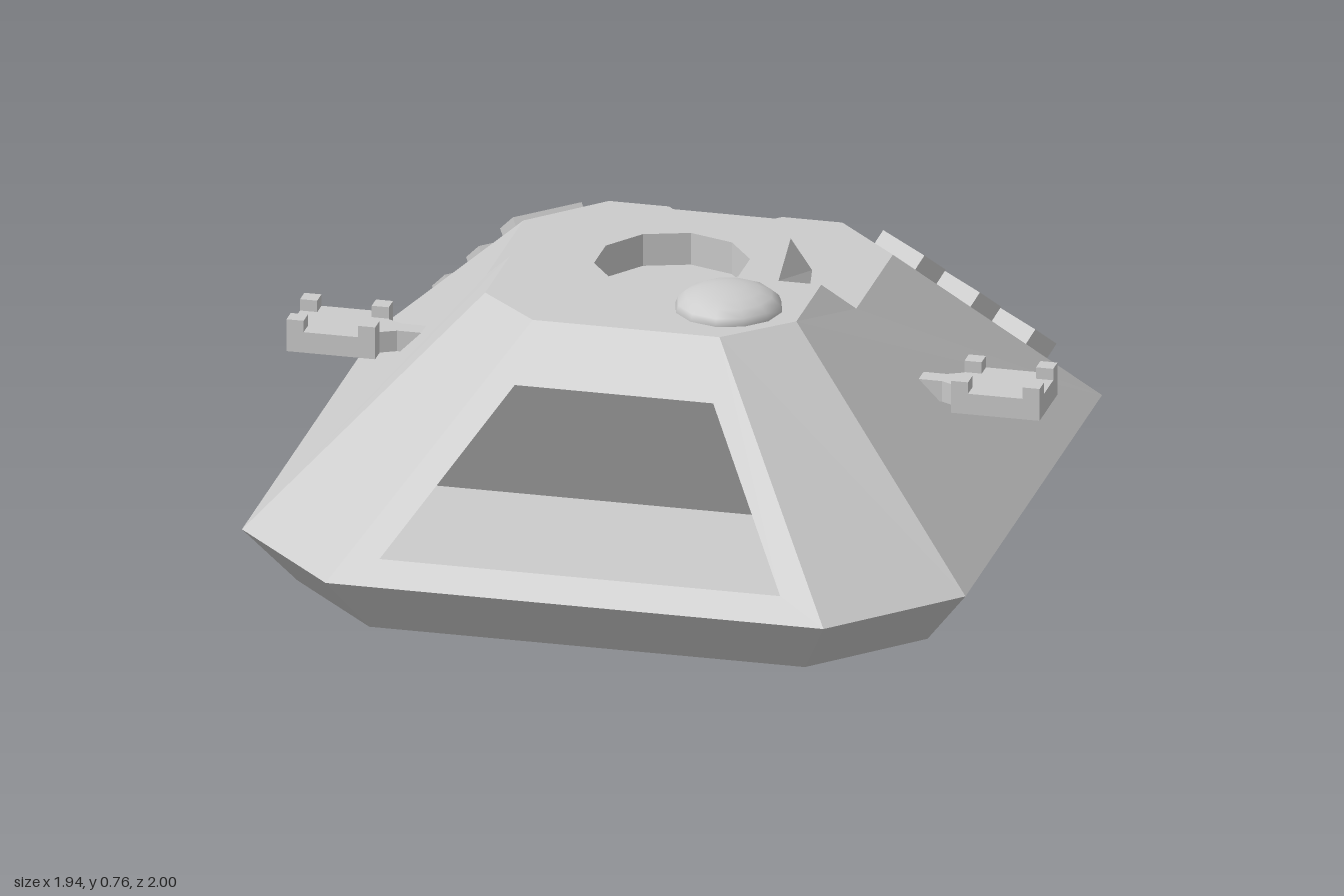
import * as THREE from 'three';

const material = new THREE.MeshStandardMaterial({ color: 0xcccccc, flatShading: true, side: THREE.DoubleSide });
const smooth = new THREE.MeshStandardMaterial({ color: 0xcccccc, side: THREE.DoubleSide });

// Heights: skirt foot, widest edge, rear terrace, top deck
const FOOT = 0, EDGE = 0.16, STEP = 0.62, DECK = 0.7;

const at = (y, ...pairs) => pairs.map(([x, z]) => [x, y, z]);
const mirror = pts => pts.map(([x, y, z]) => [-x, y, z]);
// Half outline on +x, closed by its mirror image
const both = pts => [...pts, ...mirror(pts).reverse()];
// A face on +x and its twin on -x
const pair = pts => [{ pts }, { pts: mirror(pts) }];

// Flat faces triangulated in plan; dir is +1 for faces looking up, -1 for down
function panels(name, faces, dir = 1) {
  const pos = [];
  const flat = pts => pts.map(p => new THREE.Vector2(p[0], p[2]));
  for (const { pts, hole } of faces) {
    const all = hole ? [...pts, ...hole] : pts;
    for (const [a, b, c] of THREE.ShapeUtils.triangulateShape(flat(pts), hole ? [flat(hole)] : [])) {
      const [A, B, C] = [all[a], all[b], all[c]];
      const ny = (B[2] - A[2]) * (C[0] - A[0]) - (B[0] - A[0]) * (C[2] - A[2]);
      pos.push(...A, ...(ny * dir > 0 ? [...B, ...C] : [...C, ...B]));
    }
  }
  const geo = new THREE.BufferGeometry();
  geo.setAttribute('position', new THREE.Float32BufferAttribute(pos, 3));
  geo.computeVertexNormals();
  return mesh(name, geo);
}

function mesh(name, geo, mat = material) {
  const m = new THREE.Mesh(geo, mat);
  m.name = name;
  return m;
}

// Side bracket: necked plate with four corner posts
function bracket(side) {
  const g = new THREE.Group();
  g.name = side > 0 ? 'leftBracket' : 'rightBracket';
  const half = [[0.63, 0.025], [0.7, 0.025], [0.74, 0.045], [0.74, 0.092], [0.968, 0.092]];
  const outline = [...half, ...half.map(([x, z]) => [x, -z]).reverse()];
  const shape = new THREE.Shape(outline.map(([x, z]) => new THREE.Vector2(x * side, z)));
  const plate = mesh('plate', new THREE.ExtrudeGeometry(shape, { depth: 0.055, bevelEnabled: false }));
  plate.rotation.x = -Math.PI / 2;
  plate.position.y = 0.4;
  g.add(plate);
  for (const x of [0.762, 0.946]) for (const z of [-0.07, 0.07]) {
    const post = mesh('post', new THREE.BoxGeometry(0.044, 0.035, 0.044));
    post.position.set(x * side, 0.468, z);
    g.add(post);
  }
  return g;
}

// Three blocks standing square on a rear corner slope
function vents(side) {
  const g = new THREE.Group();
  g.name = side > 0 ? 'leftVents' : 'rightVents';
  const s = Math.SQRT1_2;
  const along = new THREE.Vector3(s, 0, s * side);
  const normal = new THREE.Vector3(s * side * 0.634, 0.773, -s * 0.634);
  const slope = new THREE.Vector3().crossVectors(along, normal);
  for (const [x, z] of [[0.46, -0.55], [0.575, -0.66], [0.69, -0.77]]) {
    const y = EDGE + (1.155 - (x - z) * s) * 0.82;
    const block = mesh('ventBlock', new THREE.BoxGeometry(0.2, 0.05, 0.08));
    block.applyMatrix4(new THREE.Matrix4().makeBasis(along, normal, slope)
      .setPosition(new THREE.Vector3(x * side, y, z).addScaledVector(normal, 0.02)));
    g.add(block);
  }
  return g;
}

export function createModel() {
  const model = new THREE.Group();
  model.name = 'armouredHull';

  // Sloping upper shell with a window opening in front
  const sill = at(0.215, [0.515, 0.945]), head = at(0.572, [0.255, 0.595]);
  model.add(panels('upperHull', [
    { pts: both([...at(EDGE, [0.64, 1]), ...at(DECK, [0.24, 0.47])]), hole: both([...sill, ...head]) },
    ...pair([...at(EDGE, [0.64, 1], [0.93, 0.7]), ...at(DECK, [0.4, 0.32], [0.24, 0.47])]),
    ...pair([...at(EDGE, [0.93, 0.7], [0.93, -0.7]), ...at(STEP, [0.475, -0.37], [0.475, 0.005]),
      ...at(DECK, [0.4, 0.065], [0.4, 0.32])]),
    ...pair([...at(EDGE, [0.93, -0.7], [0.64, -1]), ...at(STEP, [0.3, -0.55], [0.475, -0.37])]),
    ...pair([...at(EDGE, [0.64, -1], [0.32, -1]), ...at(STEP, [0.145, -0.55], [0.3, -0.55])]),
  ]));

  // Undercut skirt, open below
  model.add(panels('skirt', [
    { pts: both([...at(EDGE, [0.64, 1]), ...at(FOOT, [0.56, 0.87])]) },
    ...pair([...at(EDGE, [0.64, 1], [0.93, 0.7]), ...at(FOOT, [0.81, 0.61], [0.56, 0.87])]),
    ...pair([...at(EDGE, [0.93, 0.7], [0.93, -0.7]), ...at(FOOT, [0.81, -0.61], [0.81, 0.61])]),
    ...pair([...at(EDGE, [0.93, -0.7], [0.64, -1]), ...at(FOOT, [0.56, -0.87], [0.81, -0.61])]),
    ...pair([...at(EDGE, [0.64, -1], [0.32, -1]), ...at(FOOT, [0.32, -0.87], [0.56, -0.87])]),
    ...pair([...at(EDGE, [0.32, -1], [0.27, -0.95]), ...at(FOOT, [0.27, -0.82], [0.32, -0.87])]),
    { pts: both([...at(EDGE, [0.27, -0.95]), ...at(FOOT, [0.27, -0.82])]) },
  ], -1));

  // Tapering channel down the back
  model.add(panels('rearChannel', [
    { pts: both([...at(EDGE, [0.27, -0.95]), ...at(STEP, [0.09, -0.49])]) },
    ...pair([...at(EDGE, [0.27, -0.95], [0.32, -1]), ...at(STEP, [0.145, -0.55], [0.09, -0.49])]),
  ]));

  // Window recess: level floor, undercut back wall, triangular cheeks
  const back = at(0.215, [0.515, 0.43]);
  model.add(panels('windowFloor', [{ pts: both([...sill, ...back]) }]));
  model.add(panels('windowWalls', [
    { pts: both([...head, ...back]) }, ...pair([...sill, ...head, ...back])], -1));

  // Top deck, with a ten-sided well
  const well = Array.from({ length: 10 }, (_, i) => {
    const a = i * Math.PI / 5;
    return [0.195 * Math.sin(a), DECK, 0.195 * Math.cos(a)];
  });
  const rim = at(DECK, [0.29, 0.065], [0.25, -0.22], [0.19, -0.34]);
  model.add(panels('topDeck', [
    { pts: both([...at(DECK, [0.24, 0.47], [0.4, 0.32], [0.4, 0.065]), ...rim]), hole: well }]));
  const wall = mesh('wellWall', new THREE.CylinderGeometry(0.195, 0.195, 0.085, 10, 1, true));
  wall.position.y = DECK - 0.0425;
  model.add(wall);
  model.add(panels('wellFloor', [{ pts: well.map(([x, y, z]) => [x, y - 0.085, z]) }]));

  // Lower terrace around the back of the deck, and the sloped step up to it
  const foot = at(STEP, [0.35, 0.005], [0.305, -0.22], [0.195, -0.4]);
  const edge = at(STEP, [0.475, 0.005], [0.475, -0.37], [0.3, -0.55], [0.145, -0.55], [0.09, -0.49]);
  model.add(panels('rearTerrace', [{ pts: [...both(edge), ...mirror(foot), ...[...foot].reverse()] }]));
  model.add(panels('deckStep', [
    ...pair([...at(DECK, [0.4, 0.065]), rim[0], foot[0], edge[0]]),
    ...pair([rim[0], rim[1], foot[1], foot[0]]),
    ...pair([rim[1], rim[2], foot[2], foot[1]]),
    { pts: both([rim[2], foot[2]]) },
  ]));

  // Low hatch dome on the front left of the deck
  const dome = mesh('hatchDome', new THREE.SphereGeometry(0.137, 12, 5, 0, Math.PI * 2, 0, Math.PI / 2), smooth);
  dome.scale.y = 0.44;
  dome.position.set(0.213, DECK, 0.268);
  model.add(dome);

  for (const side of [1, -1]) model.add(bracket(side), vents(side));
  return model;
}
